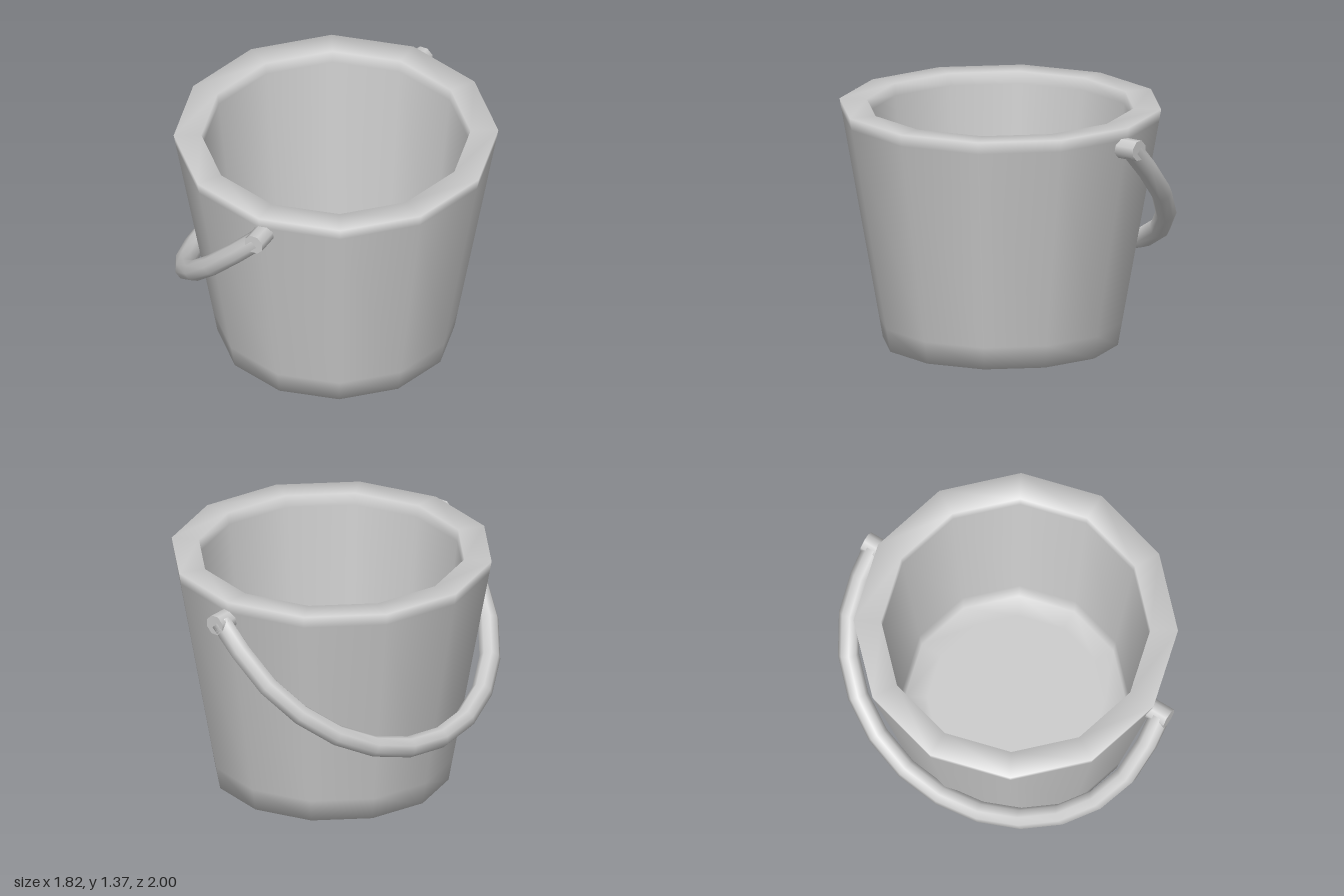
import * as THREE from 'three';

const material = new THREE.MeshStandardMaterial({ color: 0xcccccc });

function addMesh(parent, geometry, name) {
  const mesh = new THREE.Mesh(geometry, material);
  mesh.name = name;
  parent.add(mesh);
  return mesh;
}

// Octagonal bar swept along two short legs joined by a half circle
function bailGeometry(radius, leg, thickness, segments) {
  const sides = 8, r = thickness / 2 / Math.cos(Math.PI / sides);
  const rings = [[0, 0]];
  for (let i = 0; i <= segments; i++) rings.push([i / segments * Math.PI, leg]);
  rings.push([Math.PI, 0]);

  const positions = [], index = [];
  rings.forEach(([a, drop], i) => {
    for (let k = 0; k < sides; k++) {
      const b = (k + 0.5) / sides * Math.PI * 2;
      const d = radius + r * Math.cos(b);
      positions.push(r * Math.sin(b), -drop - d * Math.sin(a), d * Math.cos(a));
      if (i === rings.length - 1) continue;
      const p = i * sides + k, q = i * sides + (k + 1) % sides;
      index.push(p, p + sides, q, q, p + sides, q + sides);
    }
  });
  const geometry = new THREE.BufferGeometry();
  geometry.setAttribute('position', new THREE.Float32BufferAttribute(positions, 3));
  geometry.setIndex(index);
  geometry.computeVertexNormals();
  return geometry;
}

export function createModel() {
  const model = new THREE.Group();
  model.name = 'bucket';

  // Twelve-sided body: underside, outer wall, rim, inner wall, floor
  const profile = [
    [0, 0], [0.54, 0], [0.665, 0], [0.688, 0.13], [0.898, 1.3], [0.91, 1.37],
    [0.755, 1.37], [0.748, 1.3], [0.634, 0.28], [0.62, 0.15], [0.5, 0.15], [0, 0.15],
  ].map(([x, y]) => new THREE.Vector2(x, y));
  addMesh(model, new THREE.LatheGeometry(profile, 12), 'body');

  // Handle hanging to one side, tilted about its two pivots
  const handle = new THREE.Group();
  handle.name = 'handle';
  handle.position.set(0.017, 1.255, 0);
  handle.rotation.z = -Math.PI / 4;
  model.add(handle);

  const thickness = 0.11, radius = 0.945;
  addMesh(handle, bailGeometry(radius, 0.2, thickness, 12), 'handleBar');

  // Octagonal pivot pins running into the wall
  const pinRadius = thickness / 2 / Math.cos(Math.PI / 8);
  for (const side of [1, -1]) {
    const pin = new THREE.CylinderGeometry(pinRadius, pinRadius, 0.2, 8);
    pin.rotateY(Math.PI / 8).rotateX(Math.PI / 2);
    addMesh(handle, pin, side > 0 ? 'frontPin' : 'backPin').position.z = side * 0.9;
  }
  return model;
}
